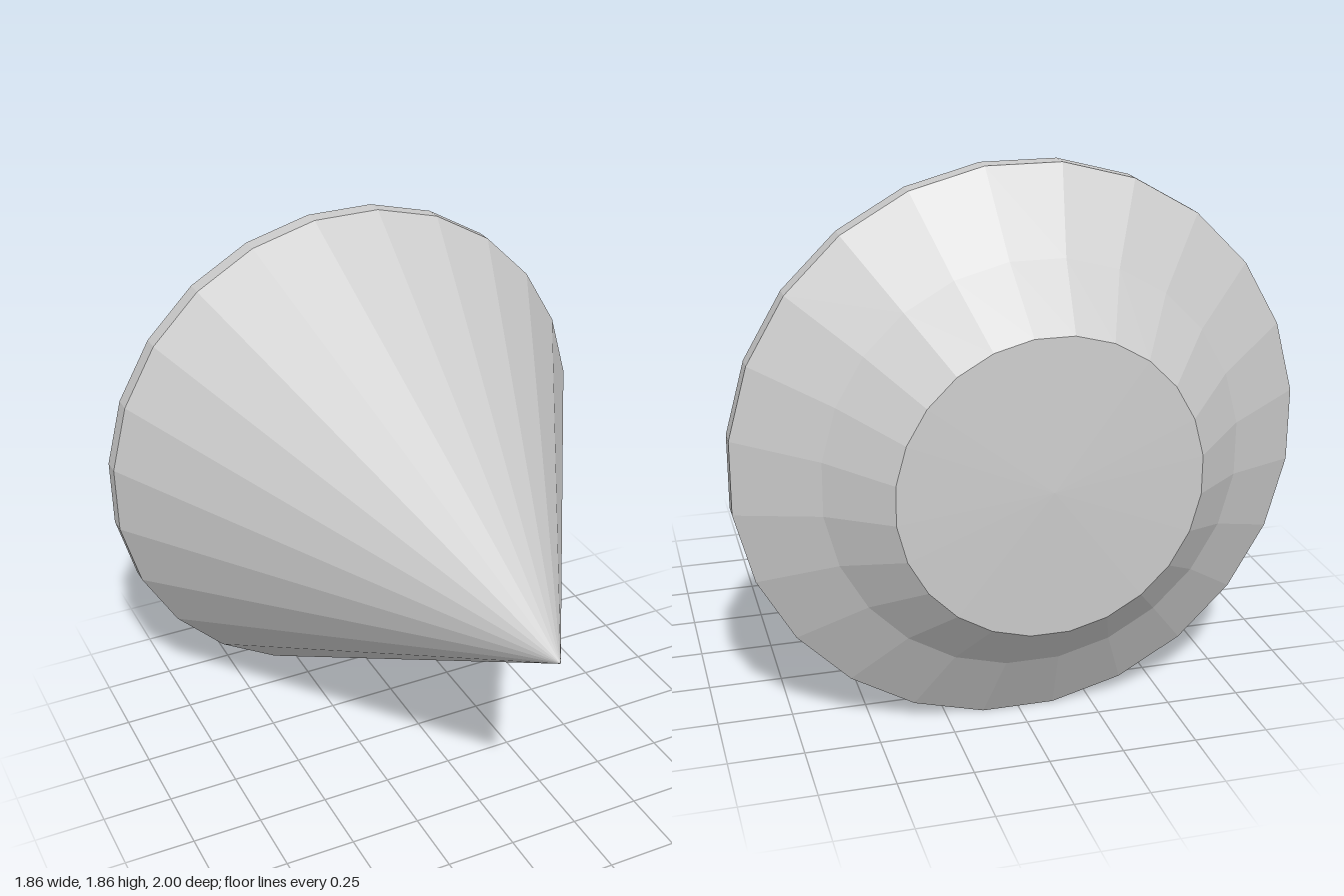
import * as THREE from 'three';

const SIDES = 24;
const CENTRE_Y = 0.9325;

// Rings as [radius, z], from the back of the gem to its tip
const BACK = [0, -1];
const TABLE_EDGE = [0.489, -0.98];
const CROWN_BREAK = [0.679, -0.798];
const GIRDLE_BACK = [0.9405, -0.64];
const GIRDLE_FRONT = [0.9405, -0.578];
const TIP = [0, 1];

export function createModel() {
  const gem = new THREE.Group();
  gem.name = 'gem';
  const material = new THREE.MeshStandardMaterial({ color: 0xcccccc, flatShading: true });

  // Faceted band turned around the z axis, with a flat side facing up
  const addBand = (name, ...rings) => {
    const profile = rings.map(([r, z]) => new THREE.Vector2(r, z));
    const geometry = new THREE.LatheGeometry(profile, SIDES, Math.PI / SIDES);
    geometry.rotateX(Math.PI / 2);
    const mesh = new THREE.Mesh(geometry, material);
    mesh.name = name;
    gem.add(mesh);
  };

  addBand('table', BACK, TABLE_EDGE); // slightly domed back face
  addBand('crown', TABLE_EDGE, CROWN_BREAK, GIRDLE_BACK);
  addBand('girdle', GIRDLE_BACK, GIRDLE_FRONT);
  addBand('pavilion', GIRDLE_FRONT, TIP); // long cone to the front

  gem.position.y = CENTRE_Y;
  return gem;
}
